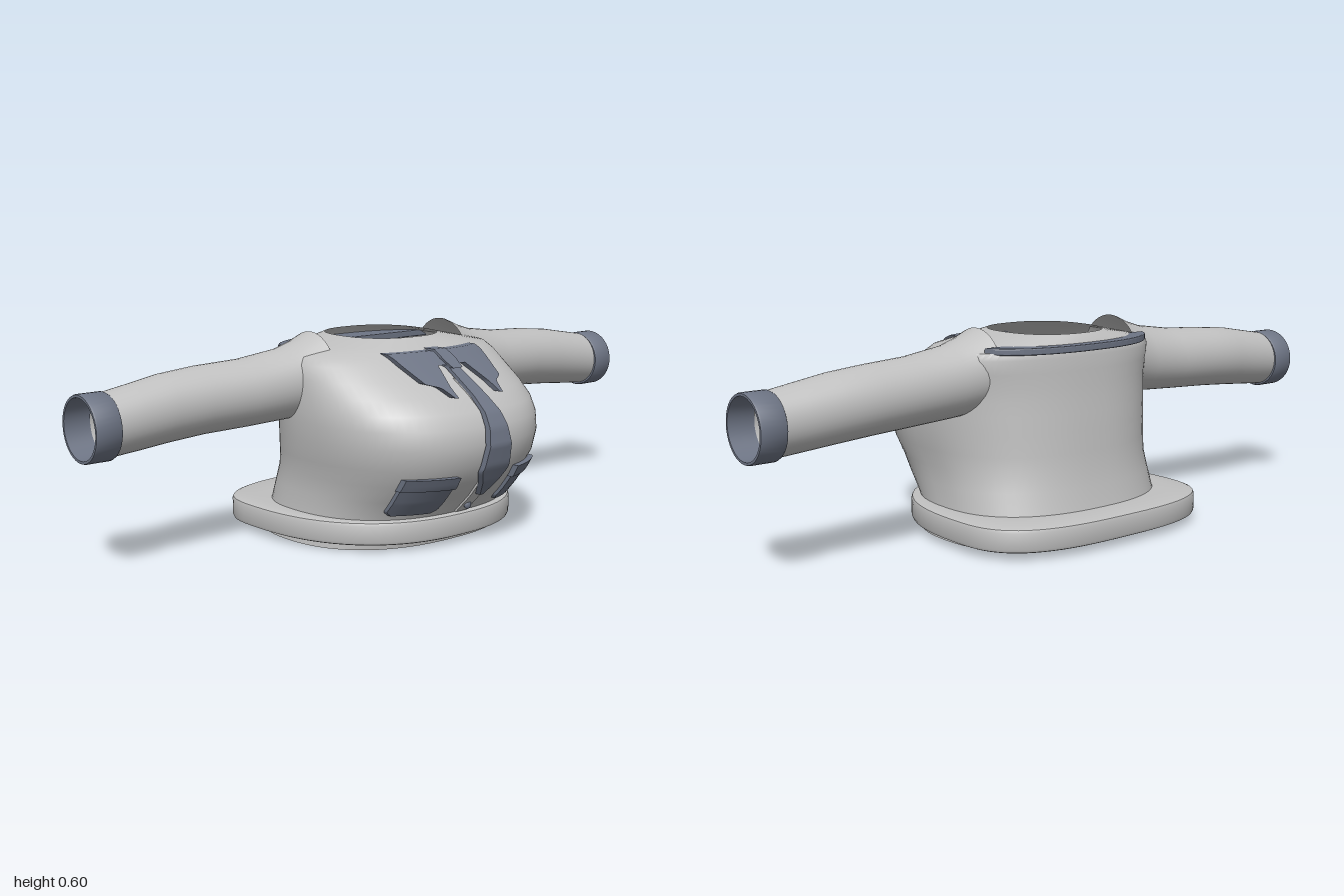
import * as THREE from 'three';
import { toCreasedNormals } from 'three/addons/utils/BufferGeometryUtils.js';

const cloth = new THREE.MeshStandardMaterial({ color: 0xc0c0c0, side: THREE.DoubleSide });
cloth.name = 'light grey cloth';
const trim = new THREE.MeshStandardMaterial({ color: 0x6e7585, side: THREE.DoubleSide });
trim.name = 'slate trim';

const SEG = 72;
const POWER = 2.4;

// Torso sections: y, half width, front z, back z, z of the widest point
const TORSO = [
  [0.0, 0.365, 0.24, -0.36, -0.08],
  [0.02, 0.362, 0.245, -0.355, -0.08],
  [0.09, 0.35, 0.27, -0.335, -0.07],
  [0.15, 0.348, 0.33, -0.32, -0.04],
  [0.2, 0.347, 0.37, -0.31, -0.01],
  [0.25, 0.358, 0.397, -0.304, 0.02],
  [0.31, 0.366, 0.41, -0.298, 0.03],
  [0.36, 0.37, 0.4, -0.292, 0.03],
  [0.4, 0.37, 0.375, -0.287, 0.02],
  [0.44, 0.367, 0.325, -0.283, 0],
  [0.48, 0.364, 0.262, -0.28, -0.03],
  [0.52, 0.36, 0.198, -0.277, -0.06],
  [0.54, 0.345, 0.168, -0.273, -0.075],
  [0.56, 0.25, 0.13, -0.263, -0.075],
  [0.58, 0.155, 0.088, -0.242, -0.075],
];

// Linear lookup in a table whose first column is y
function at(rows, y) {
  let i = 0;
  while (i < rows.length - 2 && y > rows[i + 1][0]) i++;
  const t = THREE.MathUtils.clamp((y - rows[i][0]) / (rows[i + 1][0] - rows[i][0]), 0, 1);
  return rows[i].map((v, k) => THREE.MathUtils.lerp(v, rows[i + 1][k], t));
}

// Horizontal rounded outline with separate front and back depth
function outline([y, rx, front, back, mid], nf = POWER, nb = POWER) {
  return Array.from({ length: SEG }, (_, i) => {
    const a = (i / SEG) * Math.PI * 2, c = Math.cos(a), s = Math.sin(a);
    const e = 2 / (s >= 0 ? nf : nb);
    const depth = (s >= 0 ? front - mid : mid - back) * Math.sign(s);
    return new THREE.Vector3(Math.sign(c) * Math.abs(c) ** e * rx, y, mid + Math.abs(s) ** e * depth);
  });
}

// Ring around the x axis
function xRing(x, cy, cz, ry, rz) {
  return Array.from({ length: 40 }, (_, i) => {
    const a = (i / 40) * Math.PI * 2;
    return new THREE.Vector3(x, cy + Math.sin(a) * ry, cz + Math.cos(a) * rz);
  });
}

// Skin through closed rings
function loft(rings, crease = 0.9) {
  const n = rings[0].length, index = [];
  for (let r = 0; r < rings.length - 1; r++) {
    for (let i = 0; i < n; i++) {
      const j = (i + 1) % n, a = r * n + i, b = r * n + j;
      index.push(a, a + n, b, b, a + n, b + n);
    }
  }
  const geo = new THREE.BufferGeometry().setFromPoints(rings.flat());
  geo.setIndex(index);
  return toCreasedNormals(geo, crease);
}

// Front surface of the torso
function frontZ(x, y) {
  const [, rx, front, , mid] = at(TORSO, y);
  const k = Math.max(0, 1 - Math.abs(x / rx) ** POWER);
  return mid + (front - mid) * k ** (1 / POWER);
}

// Slab that follows the torso front; rows are y, left x, right x
function patch(rows, inner, outer, nx = 8, ny = 24) {
  const geo = new THREE.BoxGeometry(1, 1, 1, nx, ny, 1);
  const p = geo.attributes.position;
  const y0 = rows[0][0], y1 = rows[rows.length - 1][0];
  for (let i = 0; i < p.count; i++) {
    const y = THREE.MathUtils.lerp(y0, y1, p.getY(i) + 0.5);
    const [, l, r] = at(rows, y);
    const x = THREE.MathUtils.lerp(l, r, p.getX(i) + 0.5);
    p.setXYZ(i, x, y, frontZ(x, y) + (p.getZ(i) > 0 ? outer : inner));
  }
  geo.computeVertexNormals();
  return geo;
}

export function createModel() {
  const model = new THREE.Group();
  const add = (name, geo, mat, parent = model) => {
    const mesh = new THREE.Mesh(geo, mat);
    mesh.name = name;
    parent.add(mesh);
    return mesh;
  };

  // Hollow torso, open at the neck and hem
  add('torso', loft(TORSO.map((k) => outline(k))), cloth);

  // Wide hem, deeper at the back
  const hem = (y, d) => outline([y, 0.41 - d, 0.29 - d, -0.435 + d, -0.18], 2.4, 2.9);
  add('hem', loft([
    outline(at(TORSO, 0.02)), hem(0.02, 0.012), hem(0.024, 0.003), hem(0.032, 0),
    hem(0.078, 0), hem(0.086, 0.003), hem(0.09, 0.012), outline(at(TORSO, 0.09)),
  ], 0.7), cloth);

  // Collar plate around the back of the neck
  const collar = new THREE.Shape(outline([0, 0.325, 0.1, -0.293, -0.075])
    .filter((p) => p.z < -0.165).map((p) => new THREE.Vector2(p.x, -p.z)));
  const collarGeo = new THREE.ExtrudeGeometry(collar, {
    depth: 0.012, bevelEnabled: true, bevelSize: 0.004, bevelThickness: 0.004, bevelSegments: 2,
  });
  collarGeo.rotateX(-Math.PI / 2).translate(0, 0.539, 0);
  add('backCollar', collarGeo, trim);

  // Placket and buttons
  add('placket', patch([[0.092, -0.022, 0.022], [0.48, -0.022, 0.022]], -0.005, 0.008, 2, 30), cloth);
  for (const y of [0.115, 0.2, 0.3]) {
    const button = add('button', new THREE.SphereGeometry(0.013, 16, 10), trim);
    button.scale.z = 0.6;
    button.position.set(0, y, frontZ(0, y) + 0.01);
  }

  // Necktie and its knot
  add('tie', patch([
    [0.155, -0.006, 0.006], [0.235, -0.05, 0.05], [0.32, -0.041, 0.041],
    [0.44, -0.024, 0.024], [0.52, -0.018, 0.018],
  ], 0.008, 0.027, 4, 40), trim);
  add('knot', patch([[0.507, -0.018, 0.018], [0.53, -0.025, 0.025], [0.554, -0.022, 0.022]], 0, 0.043, 4, 8), trim);
  add('knotBand', patch([[0.515, -0.06, 0.06], [0.548, -0.06, 0.06]], 0, 0.03, 8, 6), trim);

  for (const side of [1, -1]) {
    const half = new THREE.Group();
    half.name = side > 0 ? 'leftSide' : 'rightSide';
    half.scale.x = side;
    model.add(half);

    // Pointed collar flap
    add('collarFlap', patch([
      [0.44, 0.082, 0.092], [0.466, 0.077, 0.108], [0.476, 0.072, 0.145],
      [0.52, 0.05, 0.165], [0.55, 0.03, 0.175],
    ], 0.002, 0.03), trim, half);

    // Pocket with a raised flap
    add('pocket', patch([
      [0.108, 0.13, 0.235], [0.12, 0.116, 0.249], [0.225, 0.116, 0.249],
    ], -0.012, 0.014), trim, half);
    add('pocketFlap', patch([[0.19, 0.113, 0.252], [0.227, 0.113, 0.252]], 0, 0.021, 8, 4), trim, half);

    // Hollow sleeve: x, centre y, centre z, radii
    add('sleeve', loft([
      [0.26, 0.485, -0.085, 0.115, 0.115], [0.31, 0.47, -0.086, 0.109, 0.107],
      [0.37, 0.458, -0.088, 0.102, 0.1], [0.5, 0.446, -0.094, 0.096, 0.097],
      [0.64, 0.44, -0.104, 0.095, 0.096], [0.75, 0.431, -0.104, 0.094, 0.091],
      [0.85, 0.418, -0.1, 0.09, 0.086], [0.94, 0.407, -0.099, 0.086, 0.083],
    ].map((s) => xRing(...s))), cloth, half);

    // Cuff with a thick open lip
    add('cuff', loft([
      [0.925, 0.083], [0.925, 0.089], [0.93, 0.092], [0.995, 0.092],
      [1, 0.09], [1, 0.083], [0.925, 0.081],
    ].map(([x, r]) => xRing(x, 0.406, -0.099, r, r)), 0.6), trim, half);
  }
  return model;
}
